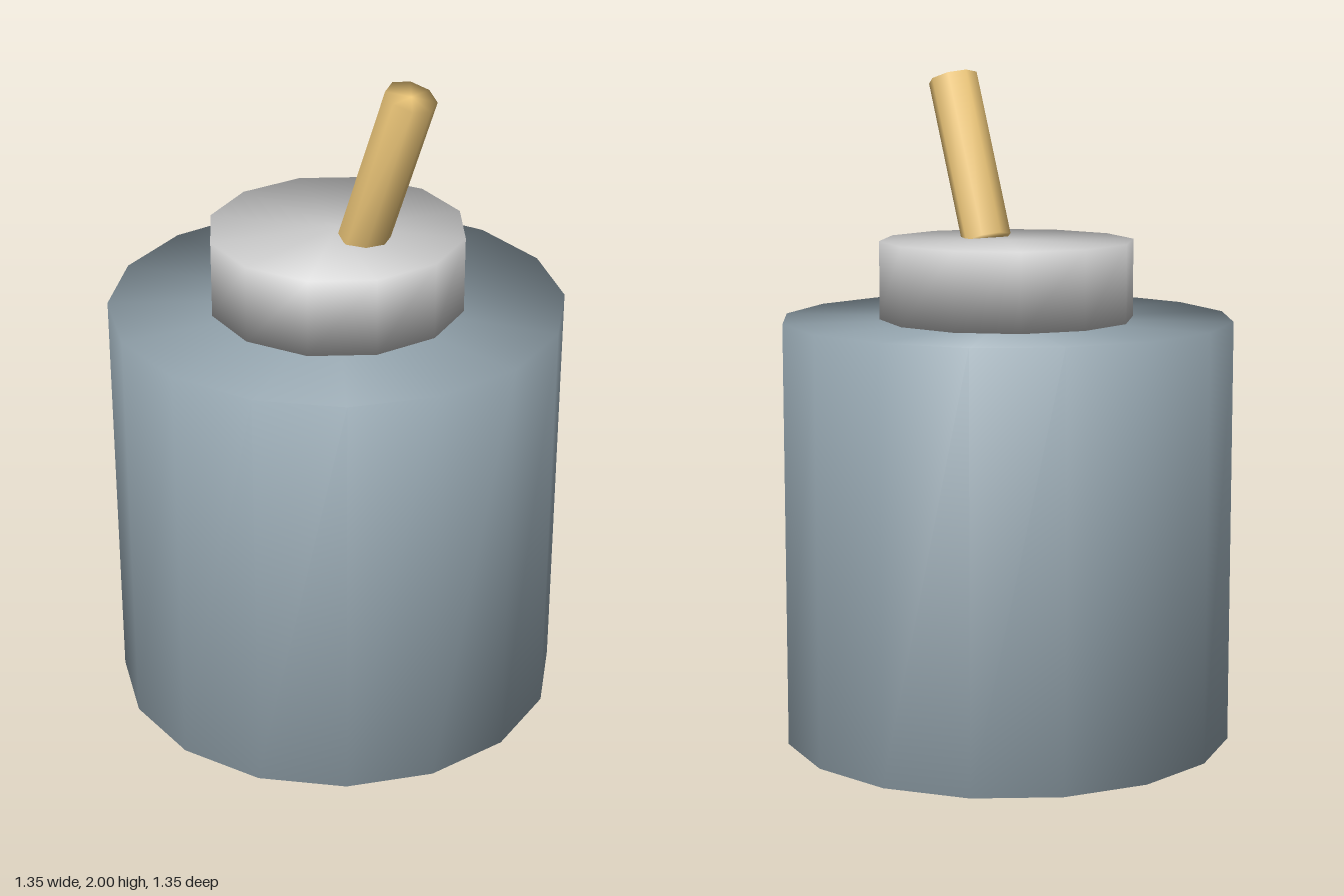
import * as THREE from 'three';
import { mergeVertices } from 'three/addons/utils/BufferGeometryUtils.js';

// Low-poly cylinder whose normals blend softly over the rims
function softCylinder(name, radius, height, sides, color) {
  let geometry = new THREE.CylinderGeometry(radius, radius, height, sides);
  geometry.deleteAttribute('normal');
  geometry.deleteAttribute('uv');
  geometry = mergeVertices(geometry, 1e-4);
  geometry.computeVertexNormals();
  const mesh = new THREE.Mesh(geometry, new THREE.MeshStandardMaterial({ color }));
  mesh.name = name;
  return mesh;
}

export function createModel() {
  const group = new THREE.Group();
  group.name = 'canister';

  // Wide 16-sided body
  const body = softCylinder('body', 0.675, 1.27, 16, 0x9aabb5);
  body.position.y = 0.635;

  // 12-sided cap on top
  const cap = softCylinder('cap', 0.38, 0.235, 12, 0xd9dddd);
  cap.position.y = 1.385;

  // Fuse leaning to the model's left
  const fuse = softCylinder('fuse', 0.075, 0.508, 8, 0xf2cb7c);
  fuse.position.set(0.191, 1.736, 0);
  fuse.rotation.z = -0.35;

  group.add(body, cap, fuse);
  return group;
}
